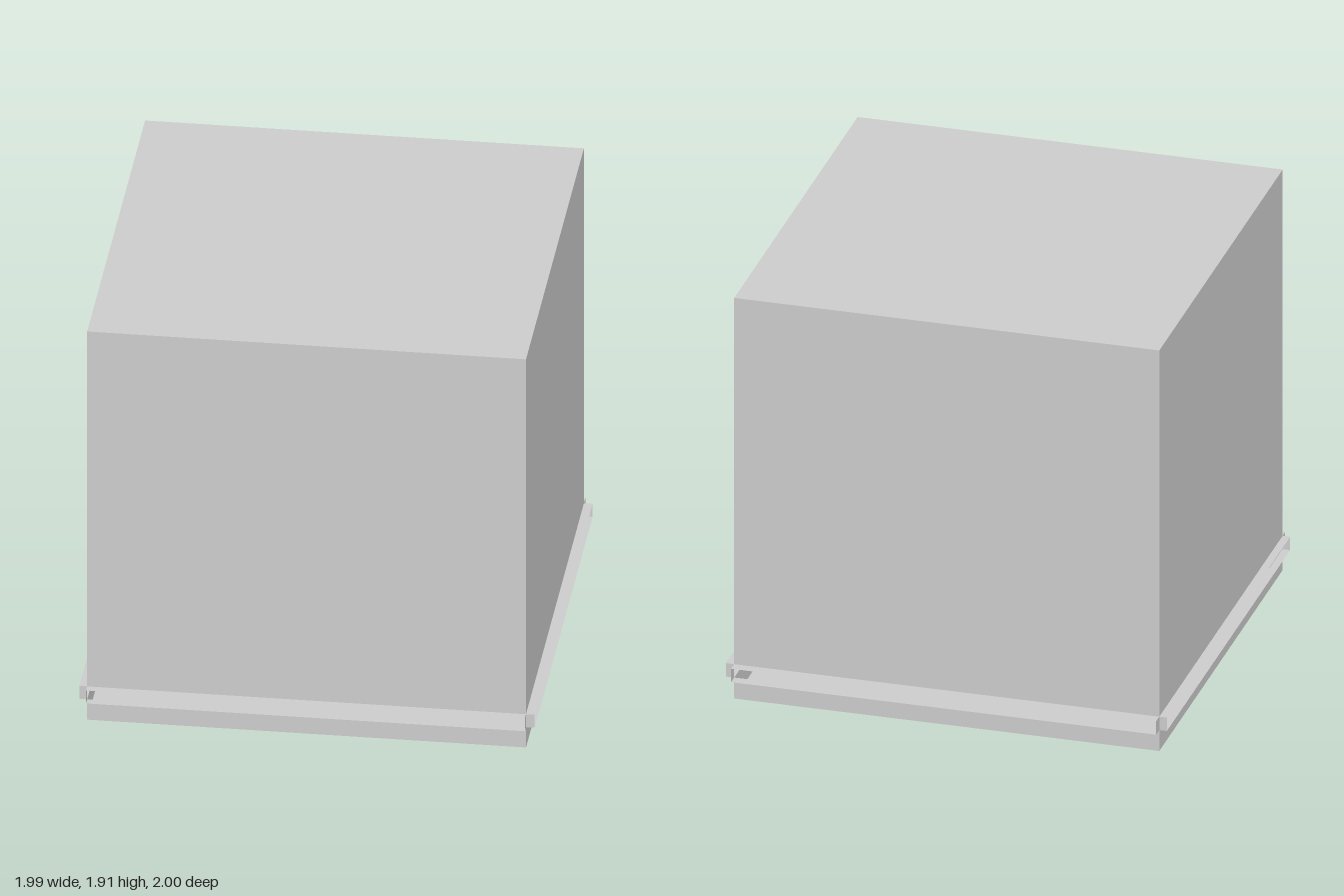
import * as THREE from 'three';

const S = 1.914;                 // cube edge length
const H = S / 2;
const SLOT_LOW = 0.1, SLOT_HIGH = 0.164;
const CENTRE = [-0.002, 0, 0.006];

export function createModel() {
  const grey = new THREE.MeshStandardMaterial({ color: 0xcccccc, side: THREE.DoubleSide });
  const model = new THREE.Group();
  model.name = 'slottedCube';

  // Flat panel, facing +z before rotation
  function panel(parent, name, w, h, position, rx = 0, ry = 0) {
    const mesh = new THREE.Mesh(new THREE.PlaneGeometry(w, h), grey);
    mesh.name = name;
    mesh.position.set(...position);
    mesh.rotation.set(rx, ry, 0);
    parent.add(mesh);
  }

  const shell = new THREE.Group();
  shell.name = 'hollowShell';
  shell.position.set(...CENTRE);
  model.add(shell);

  panel(shell, 'roof', S, S, [0, S, 0], -Math.PI / 2);
  panel(shell, 'floor', S, S, [0, 0, 0], Math.PI / 2);

  // Each side: lower wall, upper wall and an open rim around the slot between them
  const rimDepths = [0.037, 0.038, 0.049, 0.034]; // front, left, back, right
  const slotHeight = SLOT_HIGH - SLOT_LOW;
  const slotMiddle = (SLOT_HIGH + SLOT_LOW) / 2;
  ['front', 'left', 'back', 'right'].forEach((name, i) => {
    const side = new THREE.Group();
    side.name = name + 'Side';
    side.rotation.y = i * Math.PI / 2;
    shell.add(side);

    const depth = rimDepths[i];
    const z = H + depth / 2;
    panel(side, 'lowerWall', S, SLOT_LOW, [0, SLOT_LOW / 2, H]);
    panel(side, 'upperWall', S, S - SLOT_HIGH, [0, (S + SLOT_HIGH) / 2, H]);
    panel(side, 'rimTop', S, depth, [0, SLOT_HIGH, z], -Math.PI / 2);
    panel(side, 'rimBottom', S, depth, [0, SLOT_LOW, z], Math.PI / 2);
    for (const s of [-1, 1]) {
      panel(side, 'rimEnd', depth, slotHeight, [s * H, slotMiddle, z], 0, s * Math.PI / 2);
    }
  });

  return model;
}
